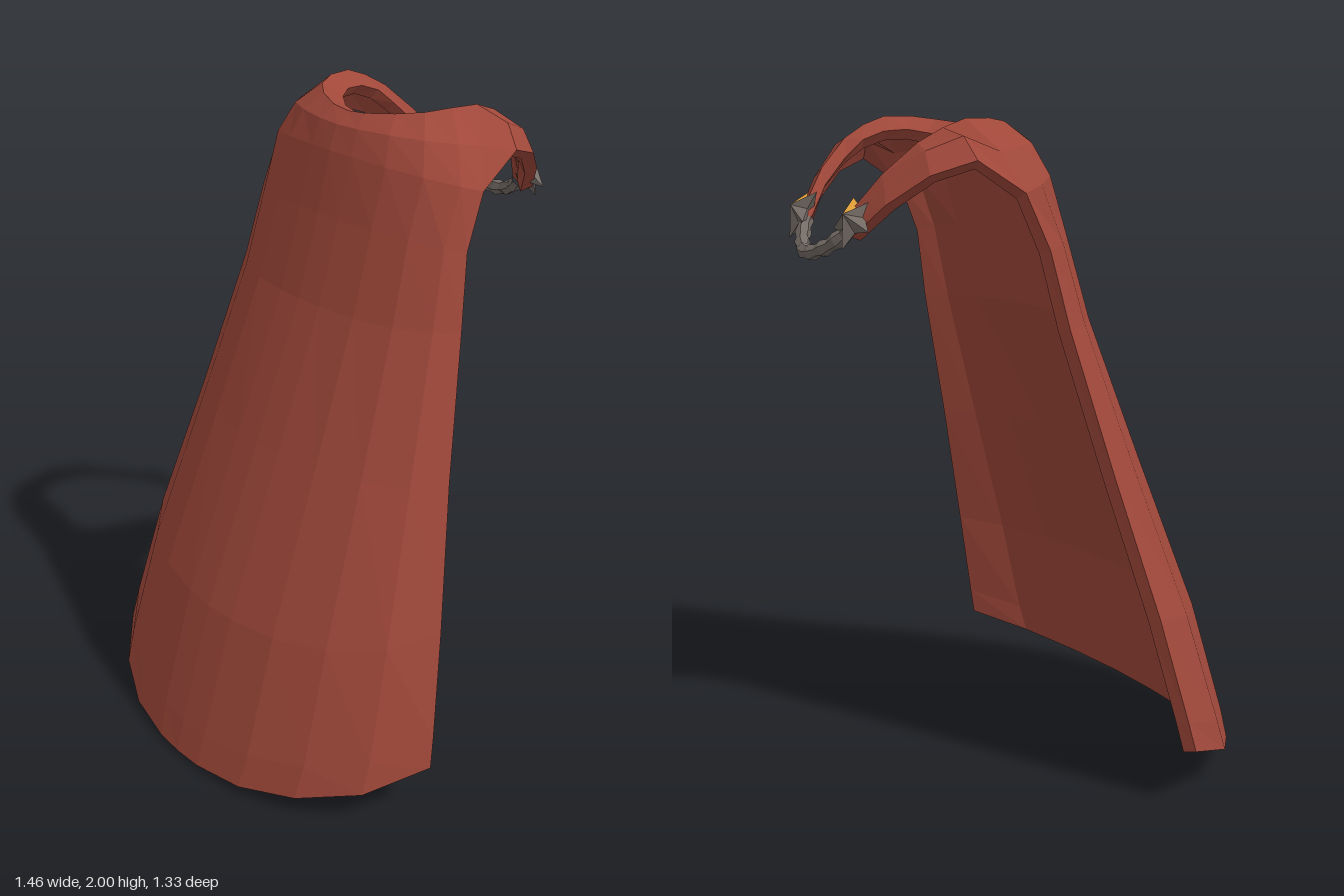
import * as THREE from 'three';

const red = new THREE.MeshStandardMaterial({ color: 0xa0483a });
red.name = 'red cloth';
const grey = new THREE.MeshStandardMaterial({ color: 0x756c66 });
grey.name = 'grey metal';
const gold = new THREE.MeshStandardMaterial({ color: 0xdc9c36 });
gold.name = 'gold';

const V = (x, y, z) => new THREE.Vector3(x, y, z);

function flat(geometry) {
  const g = geometry.index ? geometry.toNonIndexed() : geometry;
  g.computeVertexNormals();
  return g;
}

function polyhedron(points, faces) {
  const g = new THREE.BufferGeometry().setFromPoints(points);
  g.setIndex(faces.flat());
  return g;
}

// Collar half profile: neck edge, crest and, on the straps, the outer edge
const collar = [
  [V(0, 1.94, -0.11), V(0, 1.965, -0.04)],
  [V(0.06, 1.94, -0.115), V(0.07, 1.97, -0.045)],
  [V(0.13, 1.94, -0.14), V(0.16, 1.98, -0.08)],
  [V(0.19, 1.95, -0.18), V(0.23, 1.99, -0.13)],
  [V(0.225, 1.96, -0.23), V(0.27, 2, -0.2)],
  [V(0.243, 1.955, -0.3), V(0.285, 2, -0.28)],
  [V(0.243, 1.93, -0.37), V(0.285, 1.975, -0.35), V(0.42, 1.89, -0.31)],
  [V(0.235, 1.88, -0.43), V(0.27, 1.935, -0.42), V(0.375, 1.85, -0.43)],
  [V(0.205, 1.8, -0.51), V(0.23, 1.85, -0.51), V(0.3, 1.77, -0.53)],
  [V(0.155, 1.7, -0.58), V(0.175, 1.74, -0.59), V(0.22, 1.68, -0.6)],
];
// Drape rows from shoulder to hem: centre y, z, then free edge x, y, z
const drape = [
  [1.86, 0.03, 0.435, 1.8, -0.17],
  [1.68, 0.075, 0.45, 1.64, -0.1],
  [1.43, 0.15, 0.485, 1.42, -0.055],
  [1.0, 0.32, 0.565, 1.0, 0.05],
  [0.5, 0.52, 0.66, 0.58, 0.155],
  [0.12, 0.635, 0.715, 0.27, 0.225],
  [0.012, 0.665, 0.728, 0.18, 0.245],
];
// How far each column lies from centre to free edge, at shoulder and hem
const spreadTop = [0, 0.21, 0.5, 0.76, 0.94, 1];
const spreadHem = [0, 0.14, 0.385, 0.635, 0.86, 1];
const curveTop = [0, 0.03, 0.12, 0.33, 0.68, 1];
const curveHem = [0, 0.01, 0.085, 0.27, 0.57, 1];
const BODY = 5, LAST = 9;

function drapePoint(i, row) {
  const t = row / (drape.length - 1), lerp = THREE.MathUtils.lerp;
  const [yc, zc, xe, ye, ze] = drape[row];
  const s = lerp(spreadTop[i], spreadHem[i], t);
  const c = lerp(curveTop[i], curveHem[i], t);
  return V(xe * s, lerp(yc, ye, c), lerp(zc, ze, c));
}

function column(i) {
  const [neck, crest, edge] = collar[i];
  const outer = edge || drapePoint(i, 0);
  const mid = crest.clone().lerp(outer, 0.6);
  mid.y += i > 7 ? 0.015 : 0.03;
  const points = [neck, crest, mid, outer];
  if (i <= BODY) for (let r = 1; r < drape.length; r++) points.push(drapePoint(i, r));
  return points;
}

// Thicken an open sheet of quads and close its border
function shell(points, quads, thickness) {
  const tris = q => [q[0], q[1], q[2], q[0], q[2], q[3]];
  const sheet = polyhedron(points, quads.map(tris));
  sheet.computeVertexNormals();
  const normal = sheet.attributes.normal, n = points.length;
  const inner = points.map((p, k) =>
    p.clone().addScaledVector(V(0, 0, 0).fromBufferAttribute(normal, k), -thickness));
  const edges = new Set();
  quads.forEach(q => q.forEach((a, k) => edges.add(a + '_' + q[(k + 1) % 4])));
  const all = quads.map(tris);
  quads.forEach(q => {
    all.push(tris(q.map(a => a + n).reverse()));
    q.forEach((a, k) => {
      const b = q[(k + 1) % 4];
      if (!edges.has(b + '_' + a)) all.push(tris([b, a, a + n, b + n]));
    });
  });
  return flat(polyhedron([...points, ...inner], all));
}

function capeGeometry() {
  const points = [], ids = [], quads = [];
  for (let i = -LAST; i <= LAST; i++) {
    ids.push(column(Math.abs(i)).map(p => {
      points.push(V(i < 0 ? -p.x : p.x, p.y, p.z));
      return points.length - 1;
    }));
  }
  for (let i = 0; i < ids.length - 1; i++) {
    const rows = Math.min(ids[i].length, ids[i + 1].length);
    for (let r = 0; r < rows - 1; r++)
      quads.push([ids[i][r], ids[i][r + 1], ids[i + 1][r + 1], ids[i + 1][r]]);
  }
  return shell(points, quads, 0.04);
}

// Five-pointed faceted star, one point down; the upper notch faces are gold
function starGeometry() {
  const points = [V(0, 0, 0.045), V(0, 0, -0.03)];
  for (let k = 0; k < 10; k++) {
    const a = -Math.PI / 2 + k * Math.PI / 5, r = k % 2 ? 0.043 : 0.088;
    points.push(V(Math.cos(a) * r, Math.sin(a) * r, 0));
  }
  const greyFaces = [], goldFaces = [];
  for (let k = 0; k < 10; k++) {
    const a = 2 + k, b = 2 + (k + 1) % 10;
    (k === 4 || k === 5 ? goldFaces : greyFaces).push([0, a, b]);
    greyFaces.push([1, b, a]);
  }
  const g = flat(polyhedron(points, [...greyFaces, ...goldFaces]));
  g.addGroup(0, greyFaces.length * 3, 0);
  g.addGroup(greyFaces.length * 3, goldFaces.length * 3, 1);
  return g;
}

// Cord with alternating thick and thin rings
function cordGeometry() {
  const path = new THREE.CatmullRomCurve3([
    V(-0.18, 1.7, -0.585), V(-0.11, 1.65, -0.622), V(0, 1.622, -0.648),
    V(0.11, 1.65, -0.622), V(0.18, 1.7, -0.585)]);
  const segments = 14, sides = 6;
  const g = new THREE.TubeGeometry(path, segments, 0.024, sides);
  const pos = g.attributes.position, p = V(0, 0, 0);
  for (let k = 0; k < pos.count; k++) {
    const ring = Math.floor(k / (sides + 1));
    const centre = path.getPointAt(ring / segments);
    p.fromBufferAttribute(pos, k).sub(centre).multiplyScalar(ring % 2 ? 0.8 : 1.05).add(centre);
    pos.setXYZ(k, p.x, p.y, p.z);
  }
  return flat(g);
}

export function createModel() {
  const model = new THREE.Group();
  model.name = 'cape';
  const add = (name, geometry, material) => {
    const mesh = new THREE.Mesh(geometry, material);
    mesh.name = name;
    model.add(mesh);
    return mesh;
  };
  add('cloth', capeGeometry(), red);
  add('claspCord', cordGeometry(), grey);
  for (const side of [1, -1]) {
    const star = add(side > 0 ? 'leftStarClasp' : 'rightStarClasp', starGeometry(), [grey, gold]);
    star.position.set(side * 0.203, 1.722, -0.583);
    star.lookAt(star.position.clone().add(V(side * 0.2, 0.5, -0.85)));
  }
  return model;
}
